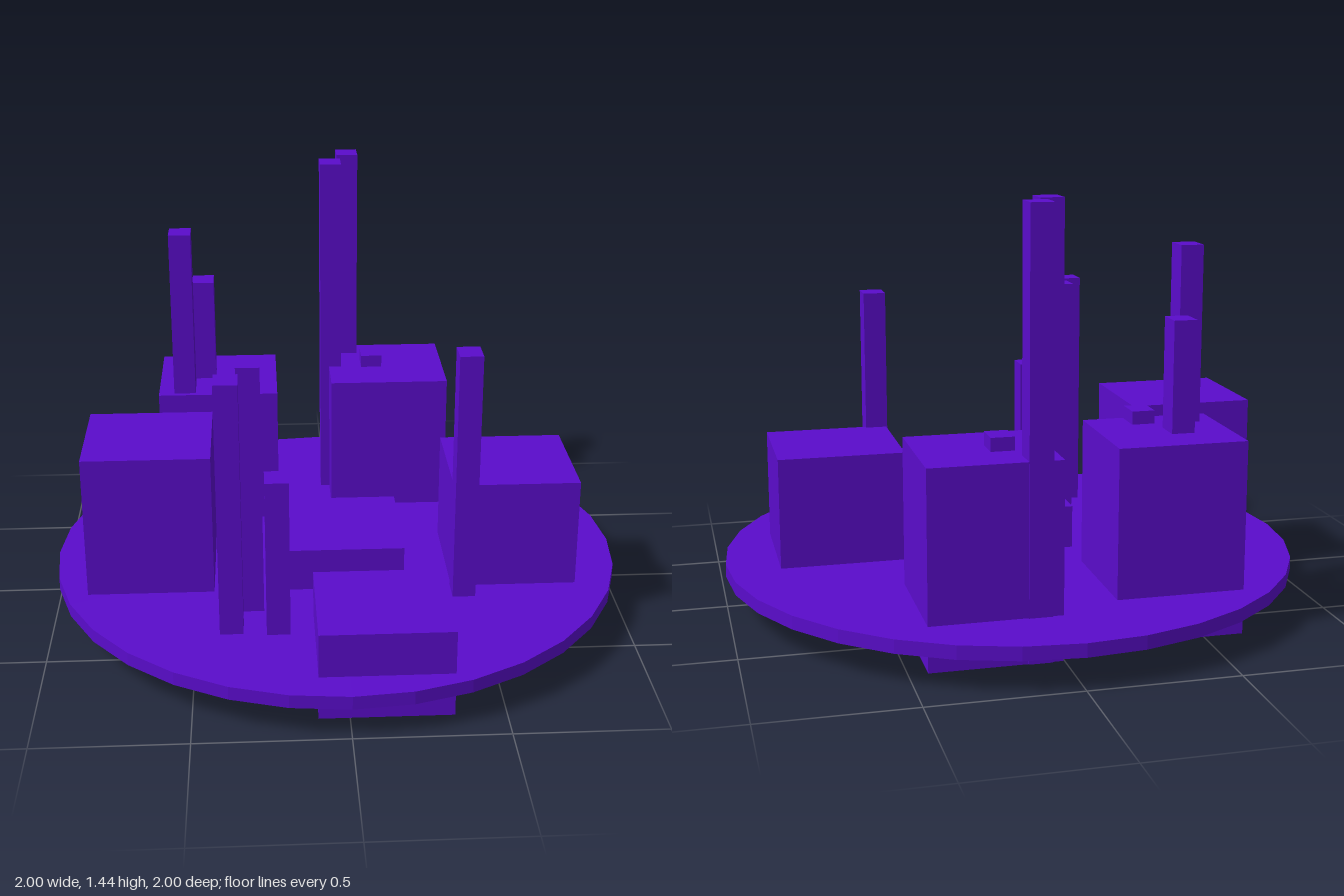
import * as THREE from 'three';

export function createModel() {
  const model = new THREE.Group();
  model.name = 'cityPlatter';
  const material = new THREE.MeshStandardMaterial({ color: 0x5a0ccb, flatShading: true });

  function addPart(name, geometry, x, y, z) {
    const mesh = new THREE.Mesh(geometry, material);
    mesh.name = name;
    mesh.position.set(x, y, z);
    model.add(mesh);
  }

  // Upright box standing on y = 0 and passing through the disc
  function addColumn(name, width, depth, [x, z, height]) {
    addPart(name, new THREE.BoxGeometry(width, height, depth), x, height / 2, z);
  }

  // Round base plate
  addPart('baseDisc', new THREE.CylinderGeometry(1, 1, 0.046, 32), 0, 0.129, 0);

  // Wide buildings: x, z, height
  const buildings = [
    [-0.418, -0.458, 0.654],
    [0.22, -0.549, 0.654],
    [-0.652, 0.115, 0.654],
    [0.003, 0.115, 0.302],
    [0.602, 0.115, 0.535],
    [0.117, 0.68, 0.302],
  ];
  buildings.forEach((b, i) => addColumn(`building${i + 1}`, 0.434, 0.41, b));

  // Slender towers: x, z, height
  const towers = [
    // back right cluster
    [-0.467, -0.469, 1.03],
    [-0.54, -0.319, 1.255],
    [-0.382, -0.311, 0.699],
    // back left cluster
    [0.078, -0.712, 1.444],
    [0.009, -0.565, 1.444],
    [0.164, -0.557, 0.699],
    // front right cluster
    [-0.304, 0.415, 1.03],
    [-0.373, 0.562, 1.03],
    [-0.219, 0.573, 0.699],
    // single tower at the corner of a building
    [0.42, 0.352, 1.03],
  ];
  towers.forEach((t, i) => addColumn(`tower${i + 1}`, 0.078, 0.094, t));

  return model;
}
